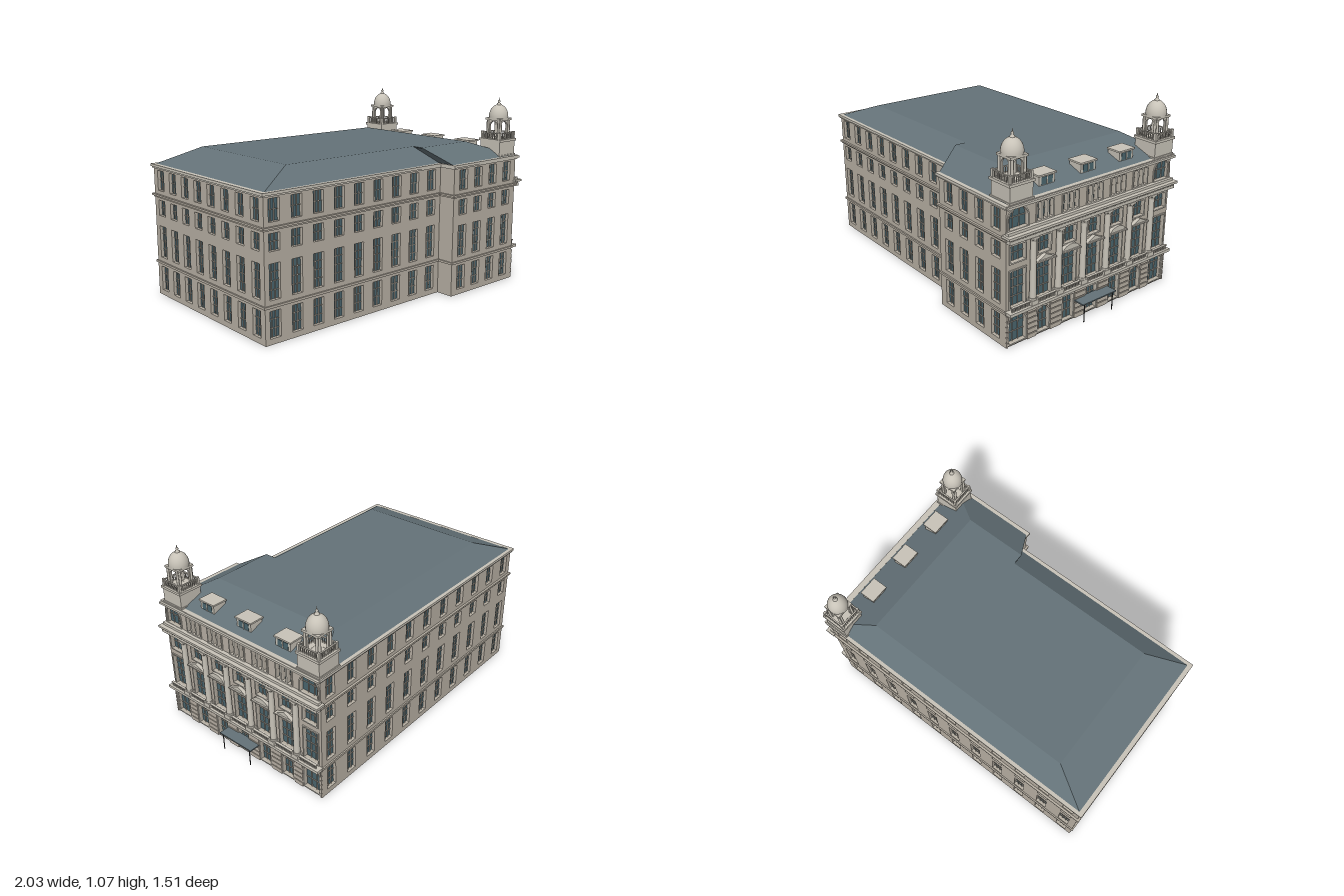
import * as THREE from 'three';
import { mergeGeometries } from 'three/addons/utils/BufferGeometryUtils.js';

const mat = (color) => new THREE.MeshStandardMaterial({ color, side: THREE.DoubleSide });
const stone = mat(0xb8b0a4), pale = mat(0xc8c3b8), slate = mat(0x647278), glass = mat(0x4a656e), dark = mat(0x3c3c3c);

// Merge a list of geometries into one named mesh
function add(parent, name, geos, material) {
  const mesh = new THREE.Mesh(mergeGeometries(geos.map((g) => (g.index ? g.toNonIndexed() : g))), material);
  mesh.name = name;
  parent.add(mesh);
  return mesh;
}
const box = (w, h, d, x, y, z) => new THREE.BoxGeometry(w, h, d).translate(x, y, z);
const cyl = (r0, r1, y0, y1, x, z, n = 10) =>
  new THREE.CylinderGeometry(r1, r0, y1 - y0, n).translate(x, (y0 + y1) / 2, z);
const extrude = (shape, depth, z = 0) =>
  new THREE.ExtrudeGeometry(shape, { depth, bevelEnabled: false, curveSegments: 10 }).translate(0, 0, z);

// Outline of a window opening, grown by g, with a round head if arched
function outline(Type, o, g = 0) {
  const r = o.w / 2 + g, p = new Type(), spring = o.arch ? o.y1 - o.w / 2 : o.y1 + g;
  p.moveTo(o.x - r, o.y0 - g);
  p.lineTo(o.x + r, o.y0 - g);
  p.lineTo(o.x + r, spring);
  if (o.arch) p.absarc(o.x, spring, r, 0, Math.PI, false);
  else p.lineTo(o.x - r, spring);
  p.closePath();
  return p;
}

// Building footprint grown by o, as [x, z] corners
const footprint = (o) => [
  [-0.87 - o, -0.515 - o], [-0.87 - o, 0.5 + o], [0.32 - o, 0.5 + o],
  [0.32 - o, 0.6 + o], [0.85 + o, 0.6 + o], [0.85 + o, -0.515 - o],
].map(([x, z]) => new THREE.Vector2(x, z));

// Horizontal slab or ring over the footprint
function slab(out, y0, y1, inner) {
  const s = new THREE.Shape(footprint(out));
  if (inner !== undefined) s.holes.push(new THREE.Path(footprint(inner)));
  return extrude(s, y1 - y0).rotateX(Math.PI / 2).translate(0, y1, 0);
}

// Wall with openings, glazing bars and optional surrounds; faces local +z
function wall(parent, name, len, openings, x, z, turn, surrounds) {
  const g = new THREE.Group();
  g.name = name;
  g.position.set(x, 0, z);
  g.rotation.y = turn;
  const s = new THREE.Shape();
  s.moveTo(-len / 2, 0).lineTo(len / 2, 0).lineTo(len / 2, 0.735).lineTo(-len / 2, 0.735).closePath();
  openings.forEach((o) => s.holes.push(outline(THREE.Path, o)));
  add(g, name + 'Stone', [extrude(s, 0.02, -0.02)], stone);
  const bars = [], frames = [];
  for (const o of openings) {
    const h = o.y1 - o.y0, n = Math.max(2, Math.round(h / 0.045));
    const cols = o.w > 0.05 ? 3 : 1;
    for (let i = 1; i < cols; i++)
      bars.push(box(0.004, h, 0.005, o.x - o.w / 2 + (o.w * i) / cols, (o.y0 + o.y1) / 2, -0.0155));
    for (let i = 1; i < n; i++) bars.push(box(o.w, 0.003, 0.005, o.x, o.y0 + (h * i) / n, -0.0155));
    if (surrounds) {
      const f = outline(THREE.Shape, o, 0.007);
      f.holes.push(outline(THREE.Path, o));
      frames.push(extrude(f, 0.006));
    }
  }
  if (bars.length) add(g, name + 'GlazingBars', bars, stone);
  if (frames.length) add(g, name + 'Surrounds', frames, pale);
  parent.add(g);
  return g;
}

// Four storeys of plain windows
const rows = [[0.03, 0.167], [0.22, 0.398], [0.457, 0.543], [0.597, 0.708]];
const windowGrid = (n, step, w = 0.064, shift = 0) => rows.flatMap(([y0, y1]) =>
  Array.from({ length: n }, (_, i) => ({ x: (i - (n - 1) / 2) * step + shift, y0, y1, w })));

// Ornate entrance side with seven bays
const bayStep = 0.163, bays = [-3, -2, -1, 0, 1, 2, 3];
function entranceFacade(parent) {
  const open = [];
  for (const k of bays) {
    const x = k * bayStep, end = Math.abs(k) === 3;
    open.push({ x, y0: 0.015, y1: end ? 0.172 : 0.15, w: end ? 0.104 : 0.075, arch: Math.abs(k) >= 2 });
    open.push({ x, y0: 0.21, y1: 0.4, w: 0.092 });
    open.push({ x, y0: 0.445, y1: 0.53, w: end ? 0.09 : 0.08 });
    if (end) open.push({ x, y0: 0.612, y1: 0.718, w: 0.115, arch: true });
    else for (const i of [-1, 0, 1]) open.push({ x: x + i * 0.036, y0: 0.617, y1: 0.71, w: 0.026, arch: true });
  }
  const g = wall(parent, 'entranceFacade', 1.115, open, 0.85, 0.0425, Math.PI / 2, true);

  // Rusticated piers between the ground floor openings
  const blocks = [], edges = [-0.5575];
  bays.forEach((k) => {
    const r = Math.abs(k) === 3 ? 0.06 : 0.046;
    edges.push(k * bayStep - r, k * bayStep + r);
  });
  edges.push(0.5575);
  for (let i = 0; i < edges.length; i += 2)
    for (let y = 0.012; y < 0.18; y += 0.029)
      blocks.push(box(edges[i + 1] - edges[i], 0.024, 0.01, (edges[i] + edges[i + 1]) / 2, y + 0.002, 0.003));
  add(g, 'rustication', blocks, stone);

  // Giant order of columns
  const cols = [];
  for (let i = -2.5; i <= 2.5; i++) {
    const x = i * bayStep;
    cols.push(box(0.046, 0.024, 0.042, x, 0.212, 0.018), cyl(0.02, 0.02, 0.224, 0.234, x, 0.018, 14),
      cyl(0.017, 0.015, 0.234, 0.53, x, 0.018, 14), cyl(0.015, 0.021, 0.53, 0.545, x, 0.018, 14),
      box(0.044, 0.012, 0.04, x, 0.55, 0.018));
  }
  add(g, 'columns', cols, pale);

  // Belt course, entablature, dentils and top cornice
  const bands = [box(1.125, 0.016, 0.046, 0, 0.192, 0.018), box(1.125, 0.018, 0.038, 0, 0.565, 0.016),
    box(1.15, 0.012, 0.056, 0, 0.589, 0.018), box(1.125, 0.014, 0.025, 0, 0.602, 0.01),
    box(1.135, 0.012, 0.03, 0, 0.729, 0.01)];
  for (let i = 0; i < 56; i++) bands.push(box(0.01, 0.009, 0.046, -0.55 + i * 0.02, 0.5785, 0.017));
  add(g, 'entablature', bands, pale);

  // Window balustrades and pediments
  const rails = [], peds = [];
  for (const k of bays) {
    const x = k * bayStep;
    rails.push(box(0.112, 0.005, 0.014, x, 0.223, 0.026));
    for (let i = -5; i <= 5; i++) rails.push(cyl(0.003, 0.003, 0.2, 0.221, x + i * 0.0102, 0.026, 6));
    if (Math.abs(k) === 3) continue;
    const s = new THREE.Shape();
    s.moveTo(x - 0.055, 0.412);
    s.lineTo(x + 0.055, 0.412);
    if (k % 2) s.absellipse(x, 0.412, 0.052, 0.03, 0, Math.PI, false);
    else s.lineTo(x, 0.438);
    s.closePath();
    peds.push(extrude(s, 0.02), box(0.118, 0.007, 0.028, x, 0.41, 0.014));
  }
  add(g, 'balustrades', rails, pale);
  add(g, 'pediments', peds, pale);

  // Entrance canopy on two posts
  add(g, 'canopy', [box(0.235, 0.007, 0.07, 0, 0.105, 0.035)], slate);
  add(g, 'canopyPosts', [-0.1, 0.1].map((x) => cyl(0.003, 0.003, 0, 0.104, x, 0.062, 6)), dark);
}

// Open domed lantern on a square base
function tower(parent, name, x, z) {
  const g = new THREE.Group();
  g.name = name;
  g.position.set(x, 0, z);
  add(g, 'towerBase', [box(0.137, 0.095, 0.137, 0, 0.78, 0), box(0.15, 0.014, 0.15, 0, 0.83, 0),
    box(0.146, 0.012, 0.146, 0, 0.742, 0)], pale);
  const lantern = [], rails = [];
  for (let i = 0; i < 4; i++) {
    const turn = (geo) => geo.rotateY((i * Math.PI) / 2);
    const s = outline(THREE.Shape, { x: 0, y0: 0.837, y1: 0.95, w: 0.084 });
    s.holes.push(outline(THREE.Path, { x: 0, y0: 0.838, y1: 0.936, w: 0.056, arch: true }));
    lantern.push(turn(extrude(s, 0.012, 0.03)));
    for (const side of [-1, 1]) lantern.push(turn(cyl(0.007, 0.006, 0.837, 0.942, side * 0.037, 0.047)));
    rails.push(turn(box(0.132, 0.005, 0.008, 0, 0.87, 0.062)), turn(box(0.013, 0.04, 0.013, 0.062, 0.857, 0.062)));
    for (let j = -4; j <= 4; j++) rails.push(turn(cyl(0.003, 0.003, 0.837, 0.868, j * 0.0125, 0.062, 6)));
  }
  lantern.push(box(0.104, 0.012, 0.104, 0, 0.948, 0), cyl(0.054, 0.054, 0.954, 0.964, 0, 0, 24));
  add(g, 'lantern', lantern, pale);
  add(g, 'towerBalustrade', rails, pale);
  const dome = new THREE.SphereGeometry(0.055, 24, 10, 0, Math.PI * 2, 0, Math.PI / 2);
  add(g, 'dome', [dome.scale(1, 1.25, 1).translate(0, 0.962, 0)], pale);
  const profile = [[0.014, 1.026], [0.011, 1.036], [0.005, 1.04], [0.008, 1.048], [0.003, 1.055], [0, 1.072]];
  add(g, 'finial', [new THREE.LatheGeometry(profile.map((p) => new THREE.Vector2(...p)), 12)], pale);
  parent.add(g);
}

// Hipped roof rising from the eaves to a flat top
function roof(parent) {
  const low = footprint(0), top = [[-0.64, -0.385], [-0.64, 0.37], [0.235, 0.37], [0.235, 0.435], [0.6, 0.435], [0.6, -0.385]];
  const pos = [];
  low.forEach((a, i) => {
    const j = (i + 1) % low.length, b = low[j];
    const A = [a.x, 0.735, a.y], B = [b.x, 0.735, b.y];
    const C = [top[j][0], 0.825, top[j][1]], D = [top[i][0], 0.825, top[i][1]];
    pos.push(...A, ...B, ...C, ...A, ...C, ...D);
  });
  const slopes = new THREE.BufferGeometry();
  slopes.setAttribute('position', new THREE.Float32BufferAttribute(pos, 3));
  slopes.computeVertexNormals();
  add(parent, 'roofSlopes', [slopes], slate);
  const flat = new THREE.Shape(top.map((p) => new THREE.Vector2(...p)));
  add(parent, 'roofTop', [extrude(flat, 0.004).rotateX(Math.PI / 2).translate(0, 0.825, 0)], slate);
}

export function createModel() {
  const model = new THREE.Group();
  const building = new THREE.Group();
  building.name = 'building';
  building.rotation.y = 0.288;
  model.add(building);

  // Glazed core behind the walls, and the floor
  add(building, 'glazing', [slab(-0.018, 0.005, 0.73)], glass);
  add(building, 'floor', [slab(-0.004, 0, 0.004)], dark);

  // Plain walls
  wall(building, 'frontWall', 1.19, windowGrid(9, 0.1323, 0.064, -0.006), -0.275, 0.5, 0);
  wall(building, 'frontWingWall', 0.53, windowGrid(4, 0.125), 0.585, 0.6, 0);
  wall(building, 'wingReturnWall', 0.1, [], 0.32, 0.55, -Math.PI / 2);
  wall(building, 'backWall', 1.72, windowGrid(11, 0.158), -0.01, -0.515, Math.PI);
  wall(building, 'endWall', 1.015, windowGrid(8, 0.125), -0.87, -0.0075, -Math.PI / 2);
  entranceFacade(building);

  // String courses and eaves parapet
  add(building, 'stringCourses', [slab(0.008, 0.184, 0.196, -0.01), slab(0.006, 0.558, 0.566, -0.01),
    slab(0.012, 0.566, 0.576, -0.01)], stone);
  add(building, 'parapet', [slab(0.008, 0.718, 0.726, -0.01), slab(0.013, 0.726, 0.74, -0.012)], pale);
  roof(building);

  // Dormers above the entrance side
  for (const k of [-1, 0, 1]) {
    const z = 0.04 + k * 0.27, d = new THREE.Group();
    d.name = 'dormer';
    add(d, 'dormerBody', [box(0.08, 0.055, 0.1, 0.755, 0.775, z), box(0.09, 0.009, 0.112, 0.756, 0.806, z),
      box(0.006, 0.04, 0.006, 0.797, 0.777, z)], pale);
    add(d, 'dormerWindow', [box(0.004, 0.038, 0.07, 0.795, 0.777, z)], glass);
    building.add(d);
  }
  tower(building, 'frontTower', 0.787, 0.516);
  tower(building, 'backTower', 0.787, -0.448);
  return model;
}
